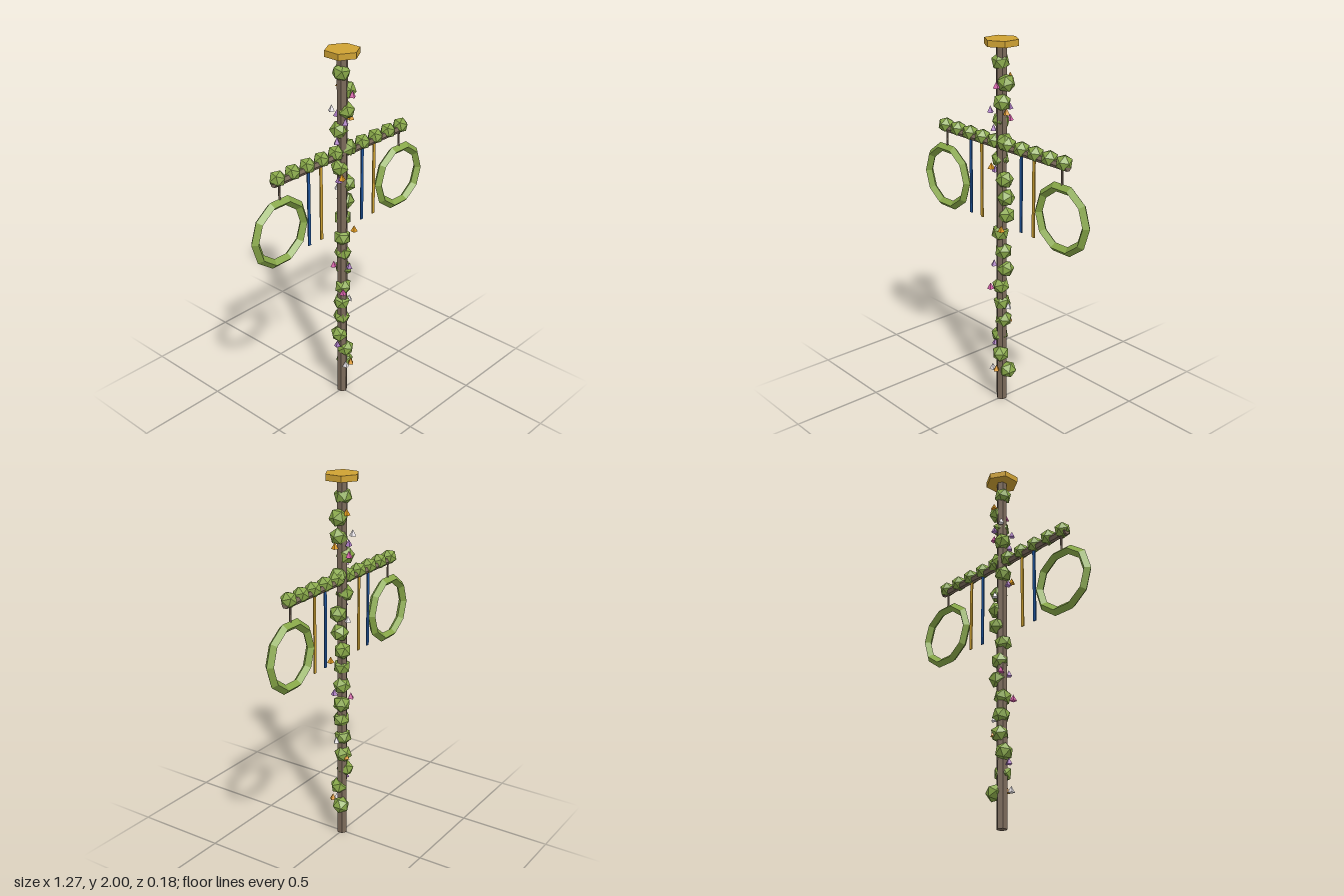
import * as THREE from 'three';

const material = (name, color) => {
  const m = new THREE.MeshStandardMaterial({ color, flatShading: true });
  m.name = name;
  return m;
};

export function createModel() {
  const group = new THREE.Group();
  const wood = material('wood brown', 0x7b6a5a);
  const leaf = material('leaf green', 0x88a848);
  const gold = material('gold', 0xcfa233);
  const blue = material('ribbon blue', 0x1f559c);
  const pink = material('blossom pink', 0xd45fa8);
  const violet = material('blossom violet', 0xa878c0);
  const white = material('blossom white', 0xe4e0e4);
  const orange = material('blossom orange', 0xe09a20);

  const add = (name, geometry, mat, x, y, z = 0) => {
    const mesh = new THREE.Mesh(geometry, mat);
    mesh.name = name;
    mesh.position.set(x, y, z);
    group.add(mesh);
    return mesh;
  };

  // Pole, cap and crossbar
  add('pole', new THREE.CylinderGeometry(0.028, 0.028, 1.97, 6), wood, 0, 0.985);
  add('cap', new THREE.CylinderGeometry(0.09, 0.09, 0.032, 6), gold, 0, 1.984);
  add('crossbar', new THREE.CylinderGeometry(0.02, 0.02, 0.96, 6), wood, 0, 1.455).rotation.z = Math.PI / 2;

  // Leaf clumps climbing the pole: [x, z] at each step
  const clump = new THREE.IcosahedronGeometry(0.048, 0);
  const climb = [
    [0.035, -0.015], [0.01, 0.015], [-0.02, -0.005], [0.005, -0.01], [0, -0.005], [0, 0.005],
    [0.02, -0.01], [0.01, -0.005], [-0.005, 0.005], [0.02, -0.015], [0.03, -0.005], [0.03, 0.005],
    [-0.015, -0.005], [0.03, 0.005], [-0.015, -0.01], [0.015, 0.01], [0.035, 0], [-0.008, 0],
  ];
  climb.forEach(([x, z], i) => {
    add('poleLeaves', clump, leaf, x, 0.185 + i * 0.1, z).rotation.set(i * 1.3, i * 2.1, i * 0.7);
  });

  // Leaf clumps along the crossbar
  const barClump = new THREE.IcosahedronGeometry(0.044, 0);
  for (let i = 0; i < 10; i++) {
    add('crossbarLeaves', barClump, leaf, -0.45 + i * 0.1, 1.473).rotation.set(0.3, 0.4, 0.2);
  }

  // Hanging wreath at each end
  for (const side of [-1, 1]) {
    add('wreath', new THREE.TorusGeometry(0.164, 0.025, 4, 10), leaf, side * 0.444, 1.185);
    add('wreathHanger', new THREE.CylinderGeometry(0.006, 0.006, 0.1, 6), wood, side * 0.44, 1.4);
  }

  // Ribbons
  const ribbon = new THREE.BoxGeometry(0.018, 0.41, 0.006);
  for (const [x, mat] of [[-0.243, blue], [-0.155, gold], [0.15, blue], [0.242, gold]]) {
    add('ribbon', ribbon, mat, x, 1.235);
  }

  // Small pointed blossoms: [x, y, z, colour]
  const blossom = new THREE.ConeGeometry(0.019, 0.034, 4);
  const blossoms = [
    [0.015, 0.21, 0.05, orange], [-0.02, 0.205, 0.045, white], [-0.045, 0.335, 0.005, violet],
    [0.055, 0.585, 0, white], [-0.04, 0.68, 0.042, pink], [0, 0.83, 0.05, violet],
    [-0.03, 0.82, -0.035, pink], [0.045, 1.03, 0.042, orange], [0.01, 1.26, -0.042, white],
    [-0.04, 1.35, 0.035, orange], [-0.037, 1.33, 0.01, violet], [-0.05, 1.545, 0.01, violet],
    [0.01, 1.6, -0.048, pink], [0.05, 1.645, 0.01, orange], [-0.03, 1.65, 0.048, violet],
    [0.01, 1.66, -0.046, violet], [-0.035, 1.7, -0.04, white], [0.018, 1.78, 0.05, pink],
    [0.02, 1.815, -0.04, orange], [0.02, 0.485, -0.04, orange],
  ];
  blossoms.forEach(([x, y, z, mat], i) => {
    add('blossom', blossom, mat, x, y, z).rotation.y = i;
  });

  return group;
}
